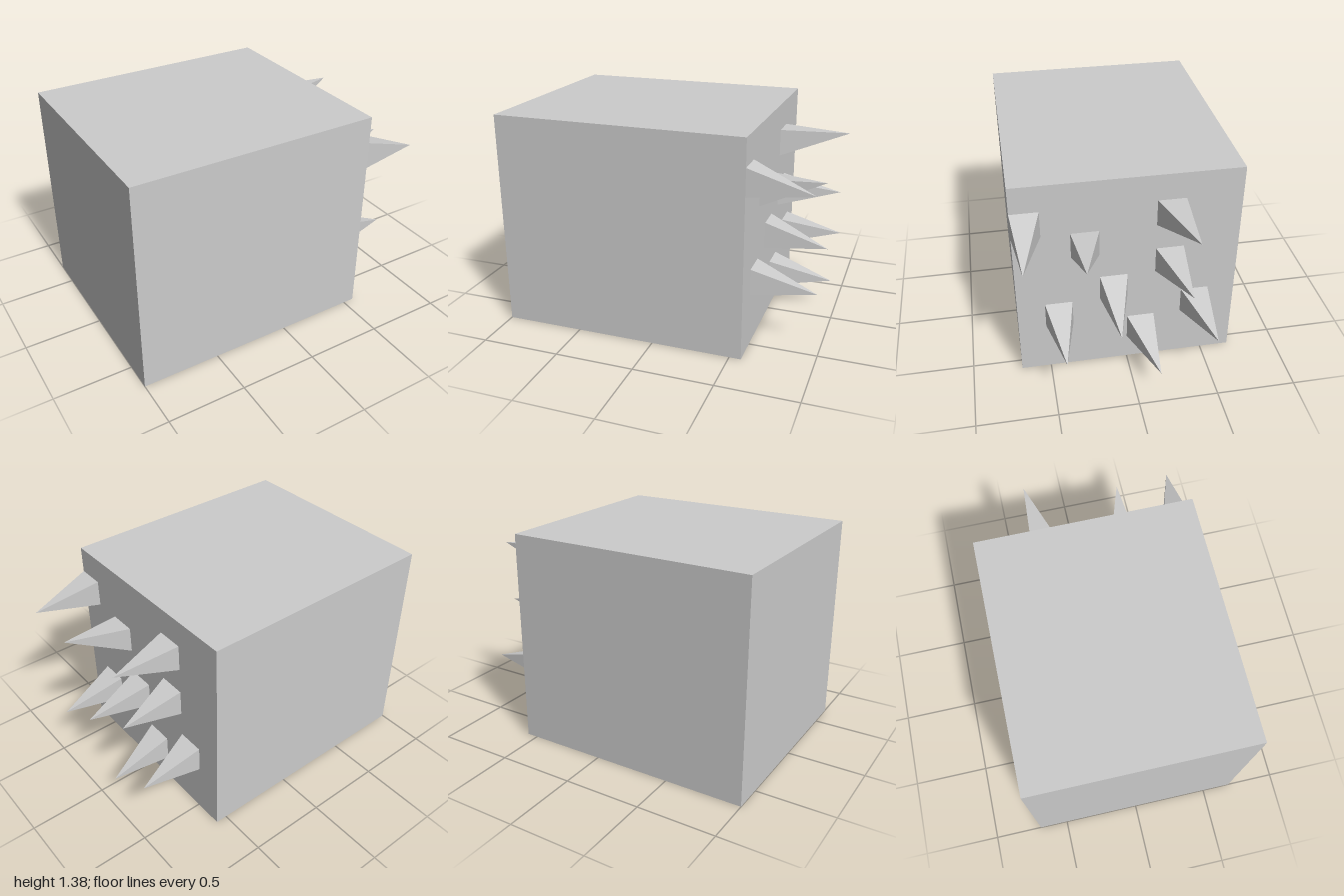
import * as THREE from 'three';

const CELL = 0.1719; // the wall is an 8 x 8 grid of cells
const SIZE = CELL * 8;
const FACE_X = 0.573; // plane the spikes grow from

// Four-sided spike along +x whose tip leans to the given point
function spikeGeometry(baseY, baseZ, tipX, tipY, tipZ) {
  const height = tipX - FACE_X;
  const cone = new THREE.ConeGeometry(CELL / Math.SQRT2, height, 4, 1, false, Math.PI / 4);
  cone.rotateZ(-Math.PI / 2);
  cone.translate(height / 2, 0, 0);
  const geometry = cone.toNonIndexed();
  const p = geometry.attributes.position;
  for (let i = 0; i < p.count; i++) {
    const t = p.getX(i) / height;
    p.setXYZ(i,
      FACE_X + p.getX(i),
      baseY + p.getY(i) + t * (tipY - baseY),
      baseZ + p.getZ(i) + t * (tipZ - baseZ));
  }
  geometry.computeVertexNormals();
  return geometry;
}

export function createModel() {
  const group = new THREE.Group();
  const material = new THREE.MeshStandardMaterial({ color: 0xcccccc, flatShading: true });

  // Solid block
  const block = new THREE.Mesh(new THREE.BoxGeometry(1 + FACE_X, SIZE, SIZE), material);
  block.position.set((FACE_X - 1) / 2, SIZE / 2, 0);
  block.name = 'block';
  group.add(block);

  // Spikes: grid row (up), grid column (along z), then the tip x, y, z
  const spikes = [
    [6, 3, 0.965, 1.067, 0.645],
    [6, -2, 1.0, 1.181, -0.317],
    [5, 1, 0.965, 1.036, 0.302],
    [4, -2, 0.965, 0.776, -0.311],
    [3, 0, 0.965, 0.536, 0.107],
    [2, 2, 0.965, 0.374, 0.43],
    [2, -3, 0.965, 0.415, -0.483],
    [1, -1, 0.965, 0.203, -0.139],
  ];
  spikes.forEach(([row, column, x, y, z], i) => {
    const geometry = spikeGeometry((row + 0.5) * CELL, (column + 0.5) * CELL, x, y, z);
    const spike = new THREE.Mesh(geometry, material);
    spike.name = `spike${i + 1}`;
    group.add(spike);
  });

  return group;
}
